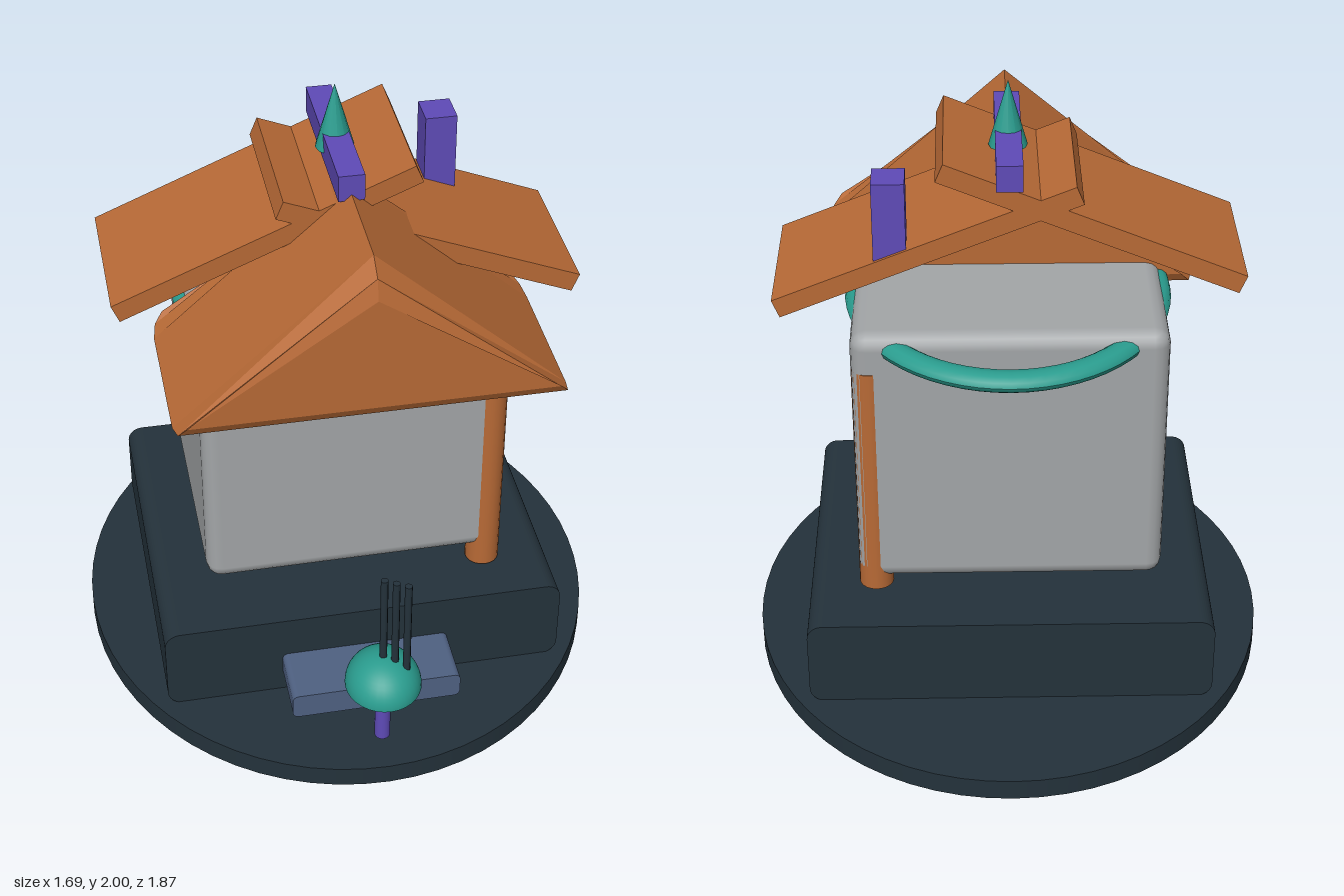
import * as THREE from 'three';
import { RoundedBoxGeometry } from 'three/addons/geometries/RoundedBoxGeometry.js';

const paint = (name, color) => {
  const m = new THREE.MeshStandardMaterial({ color });
  m.name = name;
  return m;
};

// Rounded rectangle in the xy plane, extruded along z and centred
function roundedSlab(w, h, d, r) {
  const s = new THREE.Shape();
  const x = w / 2 - r, y = h / 2 - r;
  s.absarc(x, y, r, 0, Math.PI / 2);
  s.absarc(-x, y, r, Math.PI / 2, Math.PI);
  s.absarc(-x, -y, r, Math.PI, Math.PI * 1.5);
  s.absarc(x, -y, r, Math.PI * 1.5, Math.PI * 2);
  return new THREE.ExtrudeGeometry(s, { depth: d, bevelEnabled: false, curveSegments: 5 }).translate(0, 0, -d / 2);
}

// Triangular prism lofted through sections of [z, apexY, baseY, halfWidth], back to front
function gableGeometry(sections) {
  const rings = sections.map(([z, top, base, w]) => [[-w, base, z], [w, base, z], [0, top, z]]);
  const pos = [];
  for (let i = 0; i < rings.length - 1; i++) {
    for (let j = 0; j < 3; j++) {
      const k = (j + 1) % 3;
      const a = rings[i][j], b = rings[i][k], c = rings[i + 1][k], d = rings[i + 1][j];
      pos.push(...a, ...b, ...c, ...a, ...c, ...d);
    }
  }
  const back = rings[0], front = rings[rings.length - 1];
  pos.push(...back[0], ...back[2], ...back[1], ...front[0], ...front[1], ...front[2]);
  const g = new THREE.BufferGeometry();
  g.setAttribute('position', new THREE.Float32BufferAttribute(pos, 3));
  g.computeVertexNormals();
  return g;
}

export function createModel() {
  const model = new THREE.Group();
  const dark = paint('dark slate', 0x24323b);
  const blue = paint('slate blue', 0x4f6182);
  const grey = paint('stone grey', 0xa3a6a8);
  const orange = paint('burnt orange', 0xb86a36);
  const teal = paint('teal', 0x2a9d8f);
  const purple = paint('purple', 0x5f4bb8);

  const add = (name, geometry, material, x, y, z) => {
    const mesh = new THREE.Mesh(geometry, material);
    mesh.name = name;
    mesh.position.set(x, y, z);
    model.add(mesh);
    return mesh;
  };

  // Oval ground plate, plinth and front step
  add('groundPlate', new THREE.CylinderGeometry(1, 1, 0.07, 64), dark, 0, 0.035, -0.003).scale.set(0.845, 1, 0.932);
  add('plinth', roundedSlab(1.3, 0.3, 1.07, 0.05), dark, 0, 0.217, -0.005);
  add('frontStep', roundedSlab(0.545, 0.09, 0.22, 0.02), blue, 0, 0.177, 0.615);

  // Walls with softened edges
  add('walls', new RoundedBoxGeometry(0.97, 0.9, 0.775, 2, 0.05), grey, 0, 0.89, -0.005);

  // Corner posts on the left side
  for (const [name, z, low, high] of [['frontPost', 0.335, 0.372, 1.18], ['backPost', -0.34, 0.405, 1.21]]) {
    add(name, new THREE.CylinderGeometry(0.055, 0.055, high - low, 20), orange, 0.43, (low + high) / 2, z);
  }

  // Flattened ring around the top of the walls
  const ring = new THREE.TorusGeometry(0.555, 0.045, 12, 64).rotateX(Math.PI / 2).scale(0.855, 0.68, 1);
  ring.computeVertexNormals();
  add('wallRing', ring, teal, 0, 1.286, 0);

  // Front gable with rounded-off ends
  const end = [[0.297, 1.673, 1.296, 0.555], [0.279, 1.737, 1.264, 0.58], [0.222, 1.78, 1.25, 0.59]];
  const sections = [...end.map(([z, ...rest]) => [-z, ...rest]), ...end.slice().reverse()];
  add('frontGable', gableGeometry(sections), orange, 0, 0, 0.36);

  // Sloping roof planks
  for (const [name, x, y, angle] of [['rightRoofPlank', -0.25, 1.622, 0.395], ['leftRoofPlank', 0.25, 1.549, -0.385]]) {
    add(name, new THREE.BoxGeometry(0.993, 0.062, 0.493), orange, x, y, -0.004).rotation.z = angle;
  }

  // Ridge beam, chimney and finial
  add('ridgeBeam', new THREE.BoxGeometry(0.08, 0.085, 0.535), purple, 0, 1.802, -0.003);
  add('chimney', new THREE.BoxGeometry(0.1, 0.28, 0.11), purple, 0.36, 1.633, -0.185);
  add('finial', new THREE.ConeGeometry(0.06, 0.21, 12), teal, 0, 1.895, -0.003);

  // Domed bowl on a stem, with three thin sticks
  add('bowlStem', new THREE.CylinderGeometry(0.025, 0.025, 0.165, 16), purple, 0, 0.178, 0.81);
  add('bowlDome', new THREE.SphereGeometry(1, 32, 12, 0, Math.PI * 2, 0, Math.PI / 2), teal, 0, 0.325, 0.808)
    .scale.set(0.12, 0.11, 0.13);
  const underside = add('bowlUnderside', new THREE.CircleGeometry(1, 32).rotateX(Math.PI / 2), teal, 0, 0.325, 0.808);
  underside.scale.set(0.12, 1, 0.13);
  for (let i = 0; i < 3; i++) {
    add('stick' + (i + 1), new THREE.CylinderGeometry(0.012, 0.012, 0.35, 8), dark, i * 0.033, 0.575, 0.803 + i * 0.019);
  }
  return model;
}
